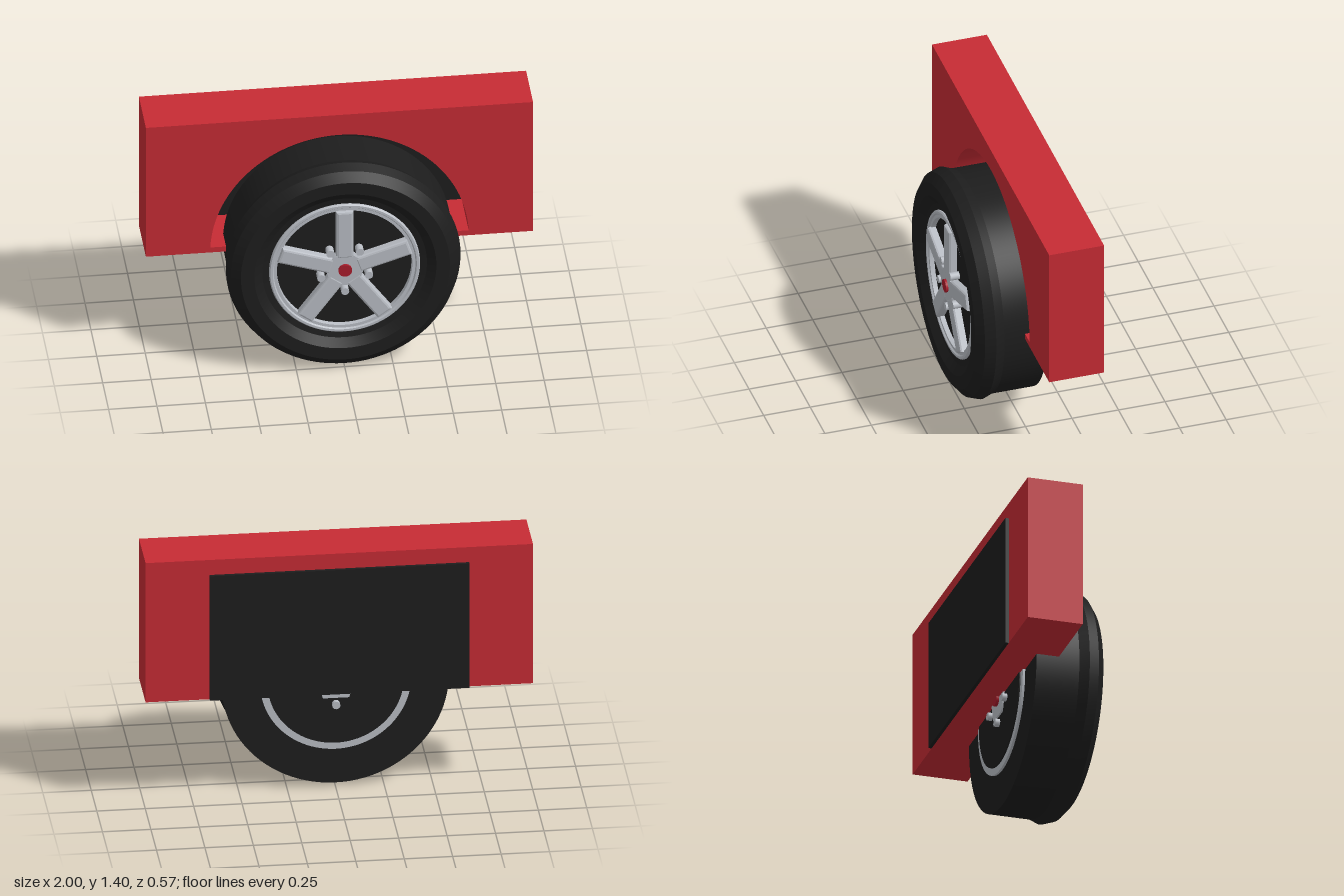
import * as THREE from 'three';
import { toCreasedNormals } from 'three/addons/utils/BufferGeometryUtils.js';

const mat = (name, color) => Object.assign(new THREE.MeshStandardMaterial({ color }), { name });

export function createModel() {
  const red = mat('body red', 0xc62b34);
  const capRed = mat('cap red', 0xa81c2b);
  const black = mat('rubber black', 0x1d1d1d);
  const silver = mat('alloy silver', 0xb9bdc4);

  const model = new THREE.Group();
  model.name = 'wheelAndArch';
  const wheel = new THREE.Group();
  wheel.name = 'wheel';
  wheel.position.y = 0.606;
  model.add(wheel);

  const add = (parent, name, geometry, material) => {
    const mesh = new THREE.Mesh(geometry, material);
    mesh.name = name;
    parent.add(mesh);
    return mesh;
  };
  // Ring of revolution about the z axis from [radius, z] points
  const turned = (points) => toCreasedNormals(
    new THREE.LatheGeometry(points.map(([r, z]) => new THREE.Vector2(r, z)), 96).rotateX(Math.PI / 2), 0.35);
  // Cylinder along z between two depths
  const rod = (r, z0, z1, sides = 32) =>
    new THREE.CylinderGeometry(r, r, z1 - z0, sides).rotateX(Math.PI / 2).translate(0, 0, (z0 + z1) / 2);

  // Body block with a round arch closed by a thin sill at the bottom
  const body = new THREE.Shape();
  body.moveTo(-1, 0.61).lineTo(1, 0.61).lineTo(1, 1.4).lineTo(-1, 1.4).closePath();
  const arch = new THREE.Path();
  const a = Math.asin(0.03 / 0.668);
  arch.absarc(0, 0.61, 0.668, a, Math.PI - a, false);
  arch.closePath();
  body.holes.push(arch);
  const bodyGeo = new THREE.ExtrudeGeometry(body, { depth: 0.295, bevelEnabled: false, curveSegments: 64 });
  add(model, 'bodyPanel', toCreasedNormals(bodyGeo.translate(0, 0, -0.265), 0.35), red);

  // Plate closing the back of the arch
  add(model, 'archBackPlate', new THREE.BoxGeometry(1.34, 0.705, 0.018), black).position.set(0, 0.9625, -0.274);

  // Tyre
  add(wheel, 'tyre', turned([
    [0.38, -0.09], [0.587, -0.09], [0.587, 0.14], [0.606, 0.19], [0.587, 0.245],
    [0.54, 0.283], [0.47, 0.283], [0.425, 0.25], [0.38, 0.24],
  ]), black);

  // Rim with a stepped front lip
  add(wheel, 'rim', turned([
    [0.35, 0.2], [0.35, -0.103], [0.39, -0.103], [0.39, 0.25], [0.384, 0.257],
    [0.372, 0.257], [0.366, 0.249], [0.35, 0.249], [0.345, 0.2],
  ]), silver);
  add(wheel, 'innerDisc', rod(0.352, -0.11, 0.225, 96), black);

  // Hub, centre cap
  add(wheel, 'hub', rod(0.115, -0.12, 0.268, 5).rotateZ(Math.PI), silver);
  add(wheel, 'centreCap', rod(0.035, -0.135, 0.28), capRed);

  // Bevelled spokes with bolts between them
  const b = 0.012;
  const spoke = new THREE.Shape();
  spoke.moveTo(-0.045 + b, 0.08).lineTo(0.045 - b, 0.08).lineTo(0.045 - b, 0.352 - b)
    .lineTo(-0.045 + b, 0.352 - b).closePath();
  const spokeGeo = new THREE.ExtrudeGeometry(spoke, {
    depth: 0.05, bevelSize: b, bevelThickness: b, bevelSegments: 2,
  }).translate(0, 0, 0.208);
  const boltGeo = rod(0.021, -0.135, 0.275, 16).translate(0, -0.13, 0);
  for (let i = 0; i < 5; i++) {
    const turn = (i * Math.PI * 2) / 5;
    add(wheel, 'spoke', spokeGeo, silver).rotation.z = turn;
    add(wheel, 'bolt', boltGeo, silver).rotation.z = turn;
  }
  return model;
}
